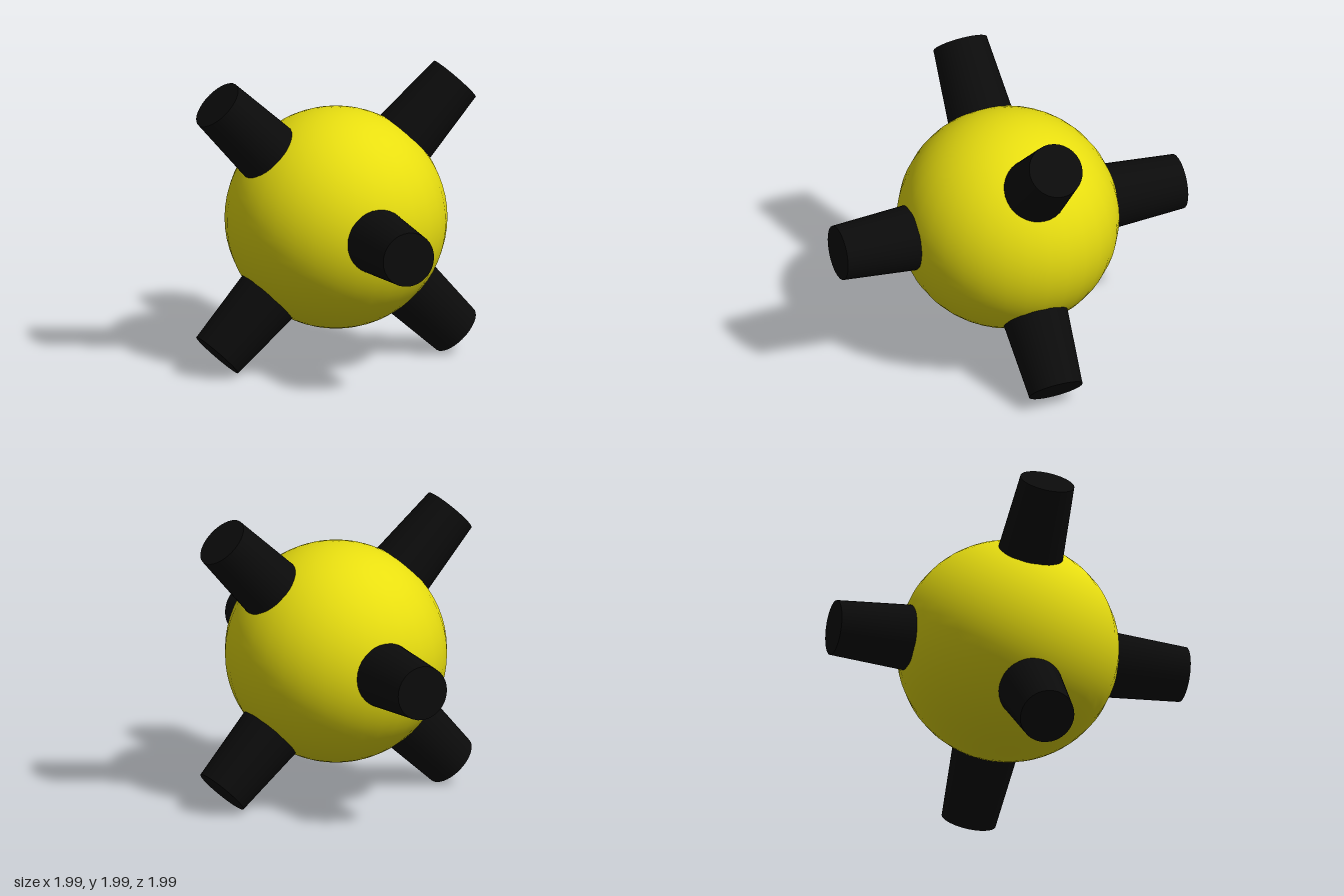
import * as THREE from 'three';

export function createModel() {
  const group = new THREE.Group();
  const yellow = new THREE.MeshStandardMaterial({ color: 0xe8de10 });
  const black = new THREE.MeshStandardMaterial({ color: 0x0b0b0b });

  // Round body
  const body = new THREE.Mesh(new THREE.SphereGeometry(0.745, 32, 32), yellow);
  body.name = 'body';
  body.position.y = 1;
  group.add(body);

  // Six tapered studs on three perpendicular axes through the body
  const inner = 0.6, outer = 1.223;
  const studGeometry = new THREE.CylinderGeometry(0.185, 0.228, outer - inner, 32);
  studGeometry.translate(0, (inner + outer) / 2, 0);
  const up = new THREE.Vector3(0, 1, 0);
  const axes = [[1, 0, 1], [-1, Math.SQRT2, 1], [-1, -Math.SQRT2, 1]];
  axes.forEach((axis, i) => {
    for (const side of [1, -1]) {
      const direction = new THREE.Vector3(...axis).normalize().multiplyScalar(side);
      const stud = new THREE.Mesh(studGeometry, black);
      stud.name = `stud${i * 2 + (side > 0 ? 1 : 2)}`;
      stud.position.y = 1;
      stud.quaternion.setFromUnitVectors(up, direction);
      group.add(stud);
    }
  });
  return group;
}
